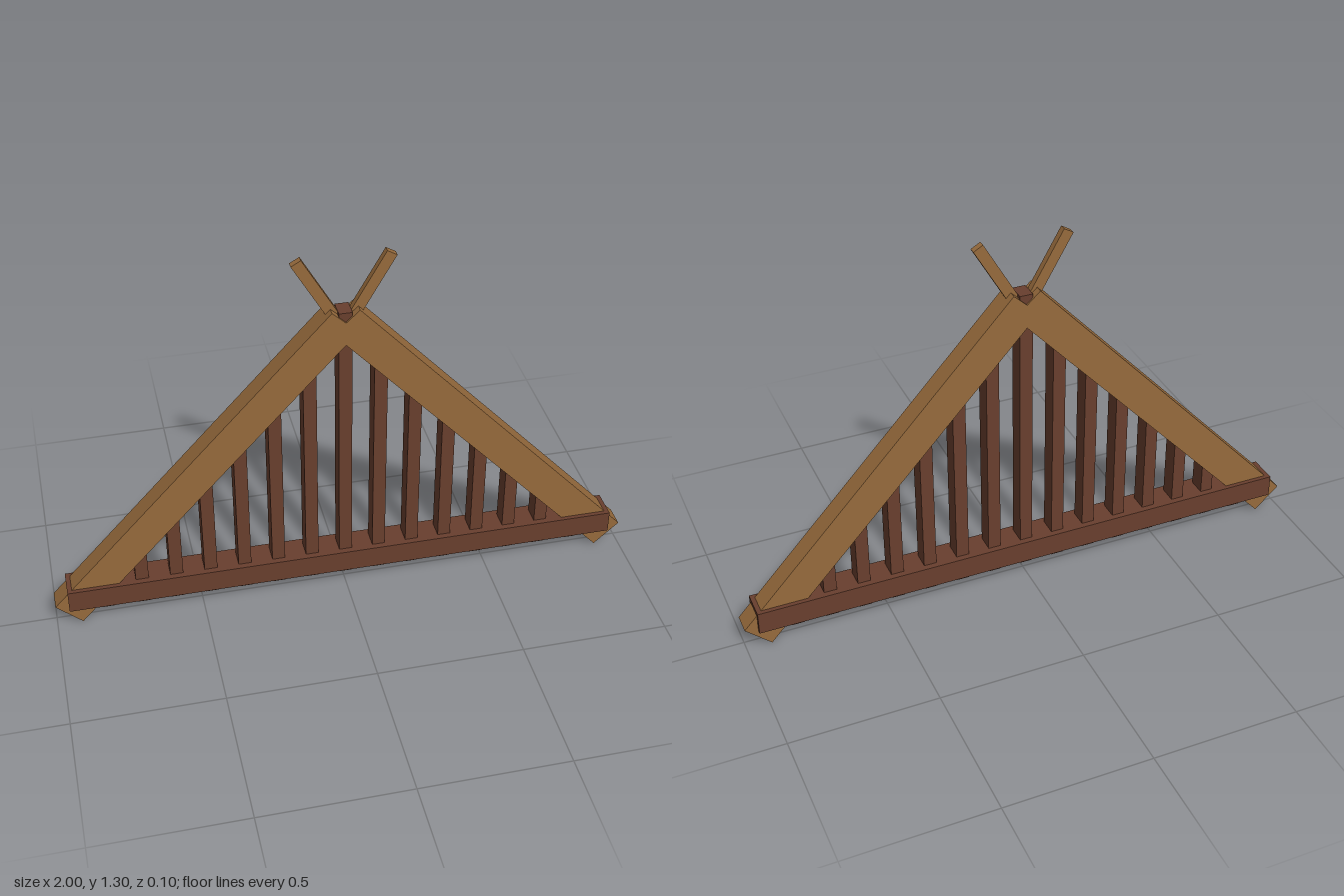
import * as THREE from 'three';

export function createModel() {
  const group = new THREE.Group();
  const lightWood = new THREE.MeshStandardMaterial({ color: 0x966a3c });
  lightWood.name = 'light wood';
  const darkWood = new THREE.MeshStandardMaterial({ color: 0x693f2e });
  darkWood.name = 'dark wood';

  // Square-cut timber between two points in the x-y plane
  function timber(name, material, [x0, y0], [x1, y1], width, depth) {
    const length = Math.hypot(x1 - x0, y1 - y0);
    const mesh = new THREE.Mesh(new THREE.BoxGeometry(width, length, depth), material);
    mesh.position.set((x0 + x1) / 2, (y0 + y1) / 2, 0);
    mesh.rotation.z = Math.atan2(x0 - x1, y1 - y0);
    mesh.name = name;
    group.add(mesh);
  }

  // Sloping rafters and the crossed finials at the ridge
  for (const [side, s] of [['left', 1], ['right', -1]]) {
    timber(side + 'Rafter', lightWood, [s * 0.957, 0.04], [s * 0.002, 1.071], 0.117, 0.074);
    timber(side + 'Finial', lightWood, [s * 0.023, 1.065], [s * 0.151, 1.287], 0.037, 0.023);
  }

  // Horizontal tie beam
  timber('tieBeam', darkWood, [-0.955, 0.105], [0.955, 0.105], 0.08, 0.104);

  // Upright slats, ending inside the rafters; the middle one reaches the ridge
  for (let i = -7; i <= 7; i++) {
    const x = i * 0.117;
    const top = i === 0 ? 1.102 : 1.071 - 1.08 * Math.abs(x);
    timber('slat' + (i + 8), darkWood, [x, 0.045], [x, top], 0.044, 0.062);
  }
  return group;
}
